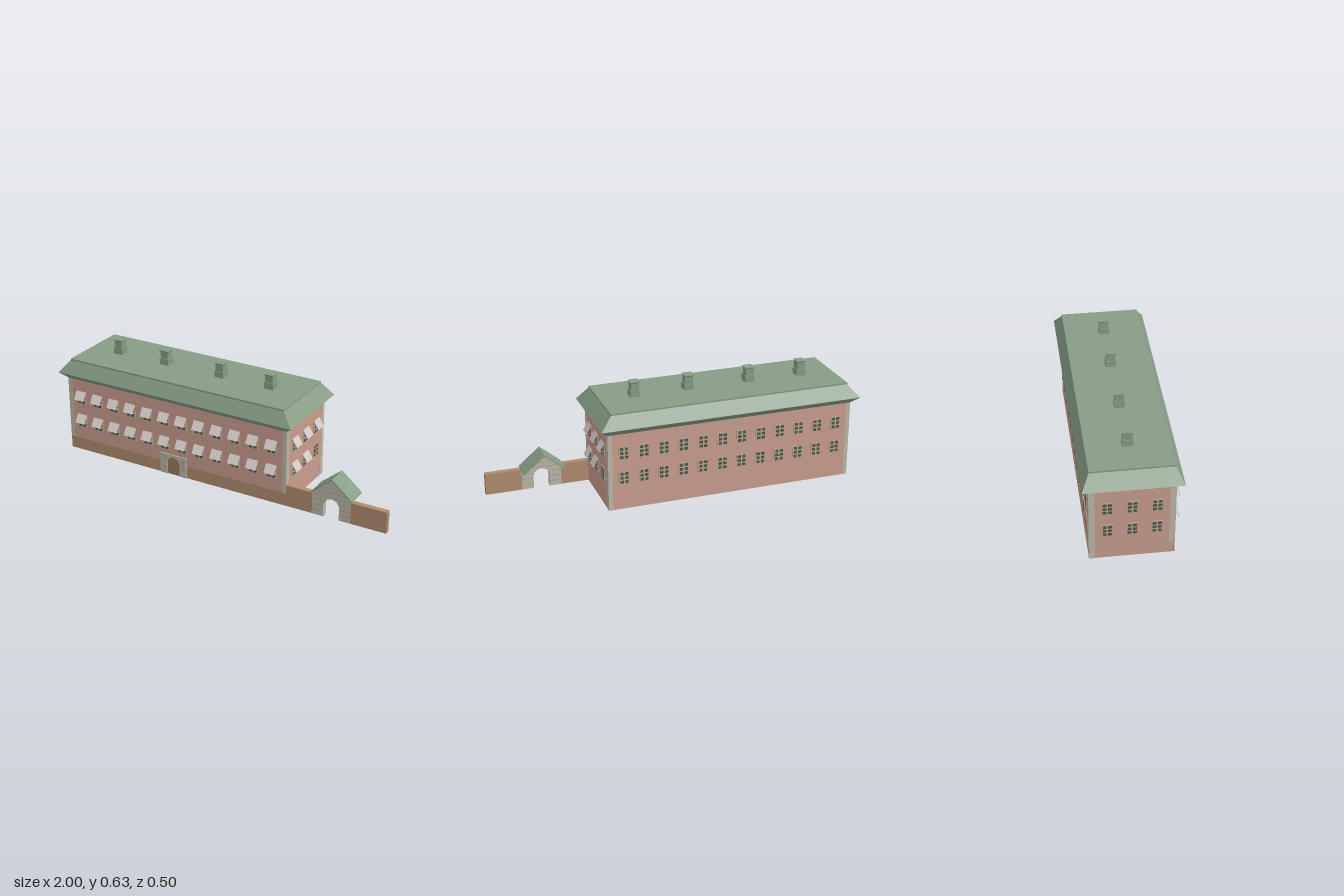
import * as THREE from 'three';

const mat = (color, side = THREE.FrontSide) =>
  new THREE.MeshStandardMaterial({ color, side, flatShading: true });
const M = {
  brick: mat(0xc99d8e), roof: mat(0x879c85), stone: mat(0xbcb7a8), joint: mat(0x858277),
  earth: mat(0xb08d6e), frame: mat(0xb9a684), glass: mat(0x505456), awning: mat(0xd3cac7),
  door: mat(0x9a7a5c),
};

// Main block extents
const X0 = -0.958, X1 = 0.425, CX = (X0 + X1) / 2, HX = (X1 - X0) / 2, HZ = 0.214, WALL = 0.432;

function add(parent, name, geometry, material, x = 0, y = 0, z = 0) {
  const mesh = new THREE.Mesh(geometry, material);
  mesh.name = name;
  mesh.position.set(x, y, z);
  parent.add(mesh);
  return mesh;
}

// Box given by its minimum and maximum corners
function box(parent, name, material, x0, x1, y0, y1, z0, z1) {
  return add(parent, name, new THREE.BoxGeometry(x1 - x0, y1 - y0, z1 - z0), material,
    (x0 + x1) / 2, (y0 + y1) / 2, (z0 + z1) / 2);
}

// Stack of rectangles [halfX, halfZ, y] joined by flat sides and capped at both ends
function loftRects(rings) {
  const pos = [];
  const corner = ([hx, hz, y], i) => [[-hx, y, hz], [hx, y, hz], [hx, y, -hz], [-hx, y, -hz]][i % 4];
  const quad = (a, b, c, d) => pos.push(...a, ...b, ...c, ...a, ...c, ...d);
  for (let r = 0; r < rings.length - 1; r++)
    for (let i = 0; i < 4; i++)
      quad(corner(rings[r], i), corner(rings[r], i + 1), corner(rings[r + 1], i + 1), corner(rings[r + 1], i));
  const top = rings[rings.length - 1], low = rings[0];
  quad(...[0, 1, 2, 3].map((i) => corner(top, i)));
  quad(...[3, 2, 1, 0].map((i) => corner(low, i)));
  const g = new THREE.BufferGeometry();
  g.setAttribute('position', new THREE.Float32BufferAttribute(pos, 3));
  g.computeVertexNormals();
  return g;
}

// Six-pane window, facing +z, origin at its centre on the wall
const frameGeo = new THREE.BoxGeometry(0.061, 0.073, 0.008);
const paneGeo = new THREE.BoxGeometry(0.018, 0.0155, 0.002);
const awningGeo = new THREE.BoxGeometry(0.0625, 0.054, 0.002);
const armGeo = new THREE.BoxGeometry(0.0015, 0.0015, 0.026);

function makeWindow(withAwning) {
  const w = new THREE.Group();
  w.name = 'window';
  add(w, 'windowFrame', frameGeo, M.frame);
  for (const x of [-0.0134, 0.0134])
    for (const y of [-0.0235, 0, 0.0235]) add(w, 'windowPane', paneGeo, M.glass, x, y, 0.0042);
  if (withAwning) {
    add(w, 'awning', awningGeo, M.awning, 0, 0.0625 - 0.0005 - 0.0485 / 2 + 0.0005 - 0.0235 + 0.0265, 0.0165)
      .rotation.x = -0.56;
    w.getObjectByName('awning').position.y = 0.0185;
    for (const s of [-1, 1]) add(w, 'awningArm', armGeo, M.awning, s * 0.029, -0.003, 0.016);
  }
  return w;
}

// Two storeys of windows along one wall
function windowWall(parent, name, count, pitch, centre, angle, hasAwning) {
  const wall = new THREE.Group();
  wall.name = name;
  for (let row = 0; row < 2; row++)
    for (let i = 0; i < count; i++) {
      const w = makeWindow(hasAwning(row, i));
      w.position.set((i - (count - 1) / 2) * pitch, row ? 0.3235 : 0.1815, 0);
      wall.add(w);
    }
  wall.position.copy(centre);
  wall.rotation.y = angle;
  parent.add(wall);
}

// Arched opening drawn clockwise from the ground, appended to an outline
function archOutline(shape, half, spring) {
  shape.lineTo(half, 0);
  shape.lineTo(half, spring);
  shape.absarc(0, spring, half, 0, Math.PI, false);
  shape.lineTo(-half, 0);
}

const extrude = (shape, depth) =>
  new THREE.ExtrudeGeometry(shape, { depth, bevelEnabled: false, curveSegments: 10 });

function makeBuilding() {
  const b = new THREE.Group();
  b.name = 'building';
  box(b, 'walls', M.brick, X0, X1, 0, WALL, -HZ, HZ);
  box(b, 'plinth', M.earth, X0, X1, 0, 0.073, HZ - 0.01, HZ + 0.001);

  // Corner pilasters
  for (const sx of [-1, 1])
    for (const sz of [-1, 1]) {
      const y0 = sz > 0 ? 0.073 : 0;
      add(b, 'cornerPilaster', new THREE.BoxGeometry(0.024, WALL - y0, 0.031), M.stone,
        CX + sx * (HX - 0.011), (WALL + y0) / 2, sz * (HZ - 0.0145));
    }

  // Roof with flared eaves and a flat top
  add(b, 'roof', loftRects([
    [HX - 0.002, HZ - 0.001, 0.43], [HX + 0.012, HZ + 0.011, 0.442],
    [HX + 0.041, HZ + 0.036, 0.467], [HX - 0.021, HZ - 0.004, 0.539], [HX - 0.021, HZ - 0.004, 0.548],
  ]), M.roof, CX);

  // Chimneys
  const chimney = loftRects([
    [0.027, 0.027, 0.54], [0.027, 0.027, 0.583], [0.0225, 0.0225, 0.583],
    [0.0225, 0.0225, 0.623], [0.027, 0.027, 0.628], [0.027, 0.027, 0.631],
  ]);
  for (const x of [-0.745, -0.44, -0.09, 0.213]) add(b, 'chimney', chimney, M.roof, x);

  // Windows, with awnings on the front and left walls
  const v = (x, z) => new THREE.Vector3(x, 0, z);
  windowWall(b, 'frontWindows', 12, 0.1102, v(-0.267, HZ), 0, () => true);
  windowWall(b, 'backWindows', 12, 0.1102, v(-0.267, -HZ), Math.PI, () => false);
  windowWall(b, 'leftWindows', 3, 0.123, v(X1, 0), Math.PI / 2, (row, i) => row === 1 || i < 2);
  windowWall(b, 'rightWindows', 3, 0.123, v(X0, 0), -Math.PI / 2, () => false);
  return b;
}

// Stone doorway on the front wall
function makeDoorway() {
  const d = new THREE.Group();
  d.name = 'doorway';
  const s = new THREE.Shape();
  s.moveTo(-0.084, 0);
  archOutline(s, 0.038, 0.068);
  s.lineTo(-0.084, 0);
  const outer = new THREE.Shape();
  outer.moveTo(-0.084, 0);
  outer.lineTo(-0.038, 0);
  outer.lineTo(-0.038, 0.068);
  outer.absarc(0, 0.068, 0.038, Math.PI, 0, true);
  for (const [x, y] of [[0.038, 0], [0.084, 0], [0.084, 0.12], [-0.084, 0.12]]) outer.lineTo(x, y);
  add(d, 'doorSurround', extrude(outer, 0.006), M.stone);
  add(d, 'door', new THREE.BoxGeometry(0.078, 0.106, 0.002), M.door, 0, 0.053, 0.001);
  for (const sx of [-1, 1]) {
    add(d, 'pillarJoint', new THREE.BoxGeometry(0.002, 0.118, 0.001), M.joint, sx * 0.058, 0.06, 0.006);
    for (const y of [0.04, 0.09])
      add(d, 'courseJoint', new THREE.BoxGeometry(0.044, 0.002, 0.001), M.joint, sx * 0.062, y, 0.006);
  }
  d.position.set(-0.267, 0, HZ);
  return d;
}

// Gabled stone gate in the yard wall
function makeGate() {
  const g = new THREE.Group();
  g.name = 'gate';
  const s = new THREE.Shape();
  s.moveTo(-0.11, 0);
  s.lineTo(-0.045, 0);
  s.lineTo(-0.045, 0.066);
  s.absarc(0, 0.066, 0.045, Math.PI, 0, true);
  for (const [x, y] of [[0.045, 0], [0.11, 0], [0.11, 0.126], [0, 0.219], [-0.11, 0.126]]) s.lineTo(x, y);
  add(g, 'gateWall', extrude(s, 0.032), M.stone, 0, 0, 0.183);

  // Masonry joints on both faces
  for (const z of [0.183, 0.215]) {
    for (const y of [0.03, 0.06, 0.09])
      for (const sx of [-1, 1])
        add(g, 'courseJoint', new THREE.BoxGeometry(0.06, 0.0015, 0.001), M.joint, sx * 0.079, y, z);
    for (const y of [0.122, 0.147, 0.172, 0.195]) {
      const half = Math.min(0.108, (0.217 - y) * 1.18);
      add(g, 'gableJoint', new THREE.BoxGeometry(2 * half, 0.0015, 0.001), M.joint, 0, y, z);
    }
  }

  // Pitched roof reaching back over the passage
  const r = new THREE.Shape([[-0.115, 0.123], [0, 0.219], [0.115, 0.123], [0.115, 0.131], [0, 0.227], [-0.115, 0.131]]
    .map(([x, y]) => new THREE.Vector2(x, y)));
  add(g, 'gateRoof', extrude(r, 0.121), M.roof, 0, 0, 0.097);
  g.position.x = 0.69;
  return g;
}

export function createModel() {
  const model = new THREE.Group();
  model.name = 'barracks';
  model.add(makeBuilding(), makeDoorway(), makeGate());
  // Yard wall on either side of the gate
  box(model, 'yardWallInner', M.earth, X1, 0.581, 0, 0.121, 0.184, 0.214);
  box(model, 'yardWallOuter', M.earth, 0.799, 1, 0, 0.121, 0.184, 0.214);
  return model;
}
